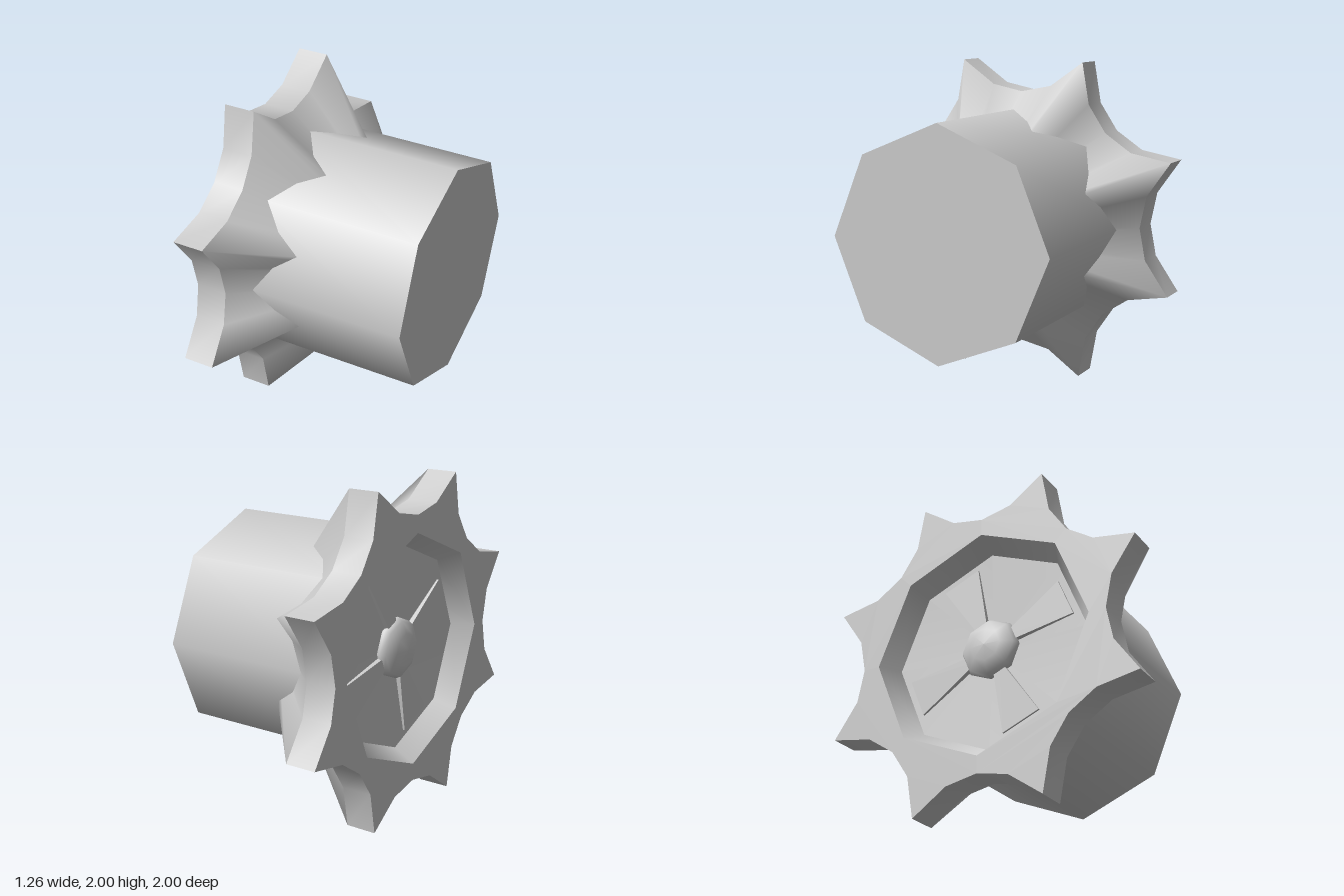
import * as THREE from 'three';
import { toCreasedNormals } from 'three/addons/utils/BufferGeometryUtils.js';

const BODY_R = 0.705, BACK = -0.63, FLANGE = 0.19, END = 0.63;

// Eight-pointed outline: four points per spike (valley, shoulder, tip, shoulder)
const RADII = [0.81, 0.873, 1.082, 0.873];
const ANGLES = [0, 13.2, 22.5, 31.8];
function starPoint(i) {
  const k = ((i % 32) + 32) % 32;
  const a = THREE.MathUtils.degToRad(Math.floor(k / 4) * 45 + ANGLES[k % 4]);
  return new THREE.Vector2(Math.sin(a), Math.cos(a)).multiplyScalar(RADII[k % 4]);
}

export function createModel() {
  const group = new THREE.Group();
  const material = new THREE.MeshStandardMaterial({ color: 0xcccccc });
  const doubleSided = new THREE.MeshStandardMaterial({ color: 0xcccccc, side: THREE.DoubleSide });

  const add = (name, geometry, mat = material) => {
    const mesh = new THREE.Mesh(geometry, mat);
    mesh.name = name;
    mesh.position.y = 1;
    group.add(mesh);
    return mesh;
  };
  // Turned part: profile of [x, radius] around the x axis
  const turned = (profile, segments = 8) =>
    new THREE.LatheGeometry(profile.map(([x, r]) => new THREE.Vector2(r, x)), segments)
      .rotateZ(-Math.PI / 2);

  // Octagonal body
  const bodyStart = -0.44;
  const body = new THREE.CylinderGeometry(BODY_R, BODY_R, END - bodyStart, 8);
  body.rotateZ(-Math.PI / 2).translate((END + bodyStart) / 2, 0, 0);
  add('body', body);

  // Spiked flange with an octagonal opening
  const star = new THREE.Shape(Array.from({ length: 32 }, (_, i) => starPoint(i)));
  star.holes.push(new THREE.Path(Array.from({ length: 8 }, (_, i) => {
    const a = i * Math.PI / 4;
    return new THREE.Vector2(Math.cos(a) * BODY_R, Math.sin(a) * BODY_R);
  })));
  const flange = new THREE.ExtrudeGeometry(star, { depth: FLANGE, bevelEnabled: false });
  flange.rotateY(Math.PI / 2).translate(BACK, 0, 0);
  add('spikedFlange', toCreasedNormals(flange, 1));

  // Spikes tapering towards a point inside the body
  const apexLength = 0.91, cut = 0.35;
  const length = apexLength * (1 - cut);
  const taper = new THREE.CylinderGeometry(cut, 1, length, 32, 1, true);
  const pos = taper.attributes.position;
  for (let i = 0; i < pos.count; i++) {
    const x = pos.getX(i), z = pos.getZ(i);
    const p = starPoint(Math.round(Math.atan2(x, z) / (Math.PI / 16)));
    const s = Math.hypot(x, z);
    pos.setXYZ(i, p.x * s, pos.getY(i), p.y * s);
  }
  taper.rotateZ(-Math.PI / 2).translate(BACK + FLANGE + length / 2, 0, 0);
  add('spikeTaper', toCreasedNormals(taper, 1.7));

  // Recess in the back: sloping rim and floor
  const floorX = BACK + 0.13;
  add('recessRim', turned([[BACK, BODY_R], [floorX, 0.63]]), doubleSided);
  add('recessFloor', turned([[floorX, 0.63], [floorX + 0.03, 0]]), doubleSided);

  // Four wedge-shaped spokes on the recess floor
  const spoke = new THREE.Shape([
    new THREE.Vector2(0.1, -0.025), new THREE.Vector2(0.54, -0.125),
    new THREE.Vector2(0.54, 0.125), new THREE.Vector2(0.1, 0.025),
  ]);
  for (let i = 0; i < 4; i++) {
    const geometry = new THREE.ExtrudeGeometry(spoke, { depth: 0.04, bevelEnabled: false });
    geometry.rotateZ(Math.PI * (0.875 + i / 2)).rotateY(Math.PI / 2).translate(floorX - 0.01, 0, 0);
    add('spoke' + (i + 1), geometry);
  }

  // Rounded hub in the middle of the recess
  const hubX = BACK + 0.05;
  add('hub', turned([
    [hubX, 0], [hubX + 0.01, 0.1], [hubX + 0.045, 0.17], [hubX + 0.08, 0.19], [floorX + 0.04, 0.17],
  ]), doubleSided);

  return group;
}
